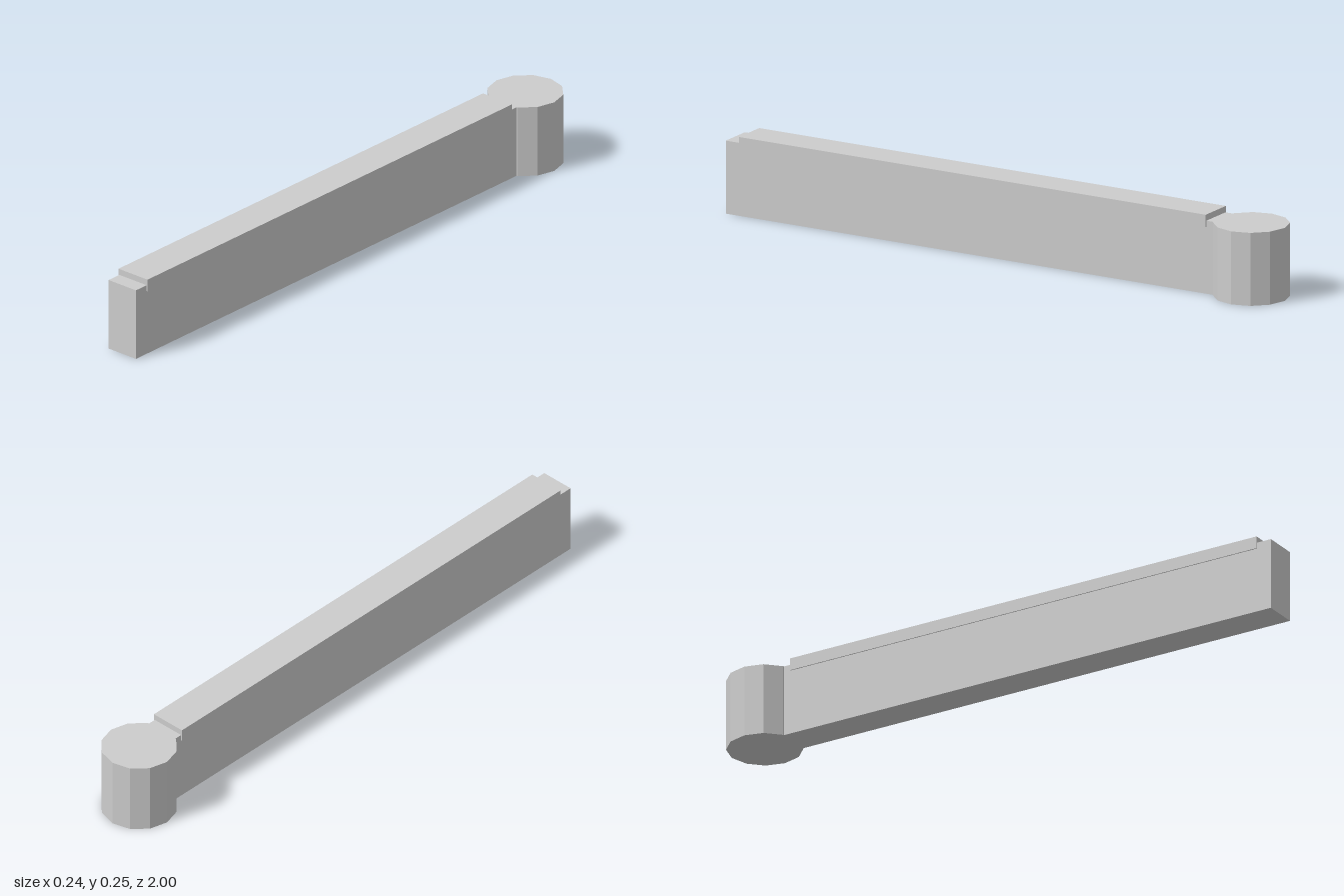
import * as THREE from 'three';

export function createModel() {
  const model = new THREE.Group();
  const stone = new THREE.MeshStandardMaterial({ color: 0xcccccc });
  stone.name = 'lightGrey';

  const add = (name, geometry, y, z) => {
    const mesh = new THREE.Mesh(geometry, stone);
    mesh.name = name;
    mesh.position.set(0, y, z);
    model.add(mesh);
  };

  // Long straight wall, running into the round post
  const front = 1, back = -0.8, height = 0.235;
  add('wall', new THREE.BoxGeometry(0.113, height, front - back), height / 2, (front + back) / 2);

  // Slightly wider coping slab sitting over the top of the wall
  add('coping', new THREE.BoxGeometry(0.12, 0.04, 1.7), 0.235, 0.1);

  // Twelve-sided post at the back end, with flat facets
  const post = new THREE.CylinderGeometry(0.12, 0.12, height, 12).toNonIndexed();
  post.computeVertexNormals();
  add('post', post, height / 2, -0.88);

  return model;
}
